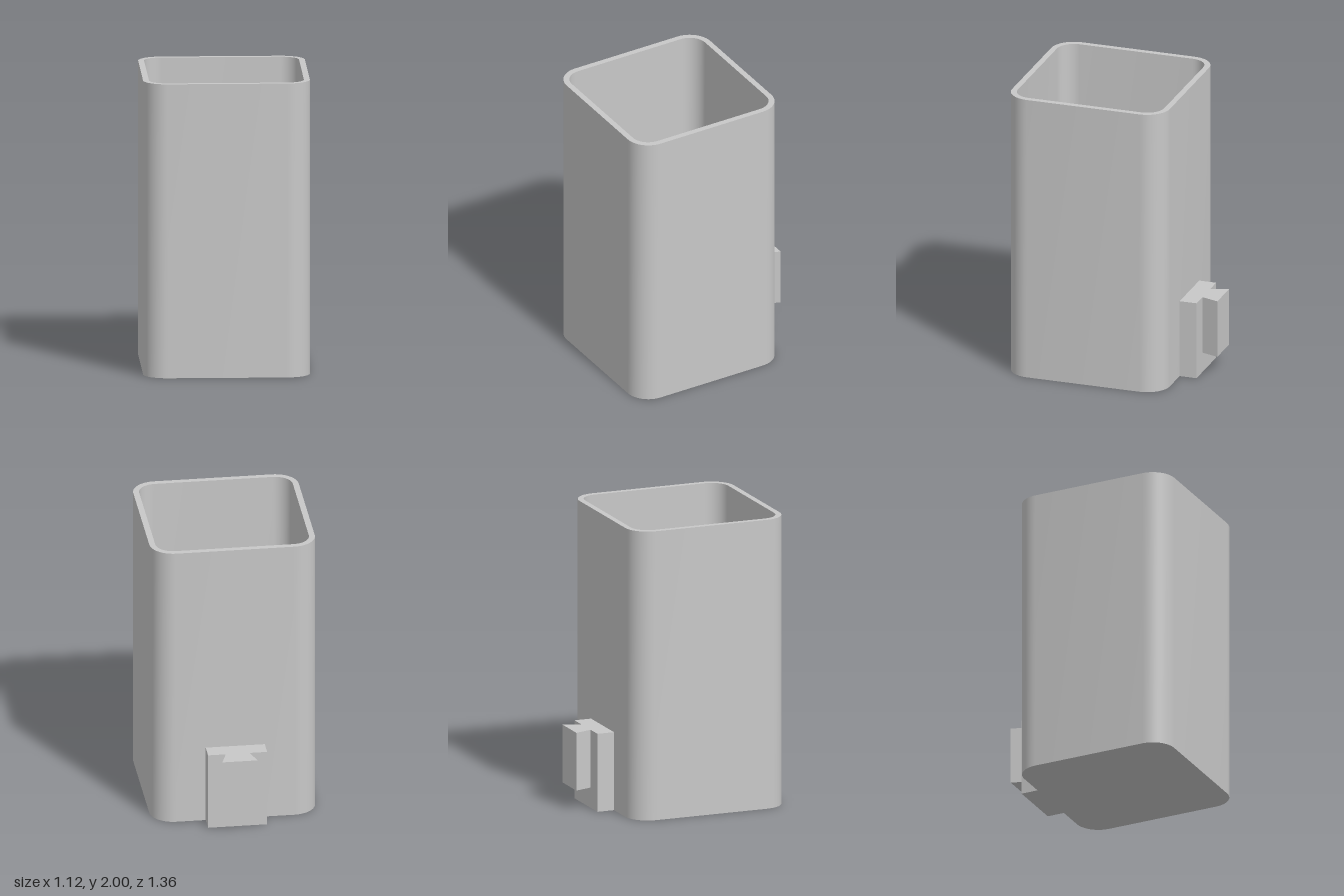
import * as THREE from 'three';
import { toCreasedNormals } from 'three/addons/utils/BufferGeometryUtils.js';

const CENTRE_Z = 0.12;
const CORNER_STEPS = 12;

// Rounded square outline at height y, as a closed ring of points
function ring(half, radius, y) {
  const points = [];
  for (let corner = 0; corner < 4; corner++) {
    const mid = (corner + 0.5) * Math.PI / 2;
    const cx = Math.sign(Math.cos(mid)) * (half - radius);
    const cz = Math.sign(Math.sin(mid)) * (half - radius) + CENTRE_Z;
    for (let i = 0; i <= CORNER_STEPS; i++) {
      const a = (corner + i / CORNER_STEPS) * Math.PI / 2;
      points.push([cx + radius * Math.cos(a), y, cz + radius * Math.sin(a)]);
    }
  }
  return points;
}

// Skin a series of rings, closing both ends with a fan to the centre
function skin(rings) {
  const n = rings[0].length;
  const last = rings.length - 1;
  const positions = [];
  const triangle = (a, b, c) => positions.push(...a, ...b, ...c);
  const startCentre = [0, rings[0][0][1], CENTRE_Z];
  const endCentre = [0, rings[last][0][1], CENTRE_Z];
  for (let j = 0; j < n; j++) {
    const k = (j + 1) % n;
    triangle(startCentre, rings[0][j], rings[0][k]);
    for (let i = 0; i < last; i++) {
      triangle(rings[i][j], rings[i + 1][j], rings[i][k]);
      triangle(rings[i + 1][j], rings[i + 1][k], rings[i][k]);
    }
    triangle(rings[last][j], endCentre, rings[last][k]);
  }
  const geometry = new THREE.BufferGeometry();
  geometry.setAttribute('position', new THREE.Float32BufferAttribute(positions, 3));
  return toCreasedNormals(geometry, Math.PI / 6);
}

// Prism with a plan given as [x, z] points, between two heights
function prism(plan, bottom, top) {
  const shape = new THREE.Shape(plan.map(([x, z]) => new THREE.Vector2(x, -z)));
  const geometry = new THREE.ExtrudeGeometry(shape, { depth: top - bottom, bevelEnabled: false });
  return geometry.rotateX(-Math.PI / 2).translate(0, bottom, 0);
}

export function createModel() {
  const group = new THREE.Group();
  const grey = new THREE.MeshStandardMaterial({ color: 0xc8c8c8 });
  grey.name = 'light grey';

  const add = (name, geometry) => {
    const mesh = new THREE.Mesh(geometry, grey);
    mesh.name = name;
    group.add(mesh);
  };

  // Open container: outer wall, rim, inner wall and floor
  add('container', skin([
    ring(0.56, 0.16, 0),
    ring(0.56, 0.16, 2),
    ring(0.52, 0.12, 2),
    ring(0.52, 0.12, 0.04),
  ]));

  // Mounting block on the back
  add('mountBlock', prism([[-0.2, -0.44], [0.2, -0.44], [0.2, -0.56], [-0.2, -0.56]], 0, 0.54));

  // Dovetail that slides into a bracket
  add('dovetail', prism([[-0.08, -0.56], [0.08, -0.56], [0.12, -0.68], [-0.12, -0.68]], 0.14, 0.54));

  return group;
}
